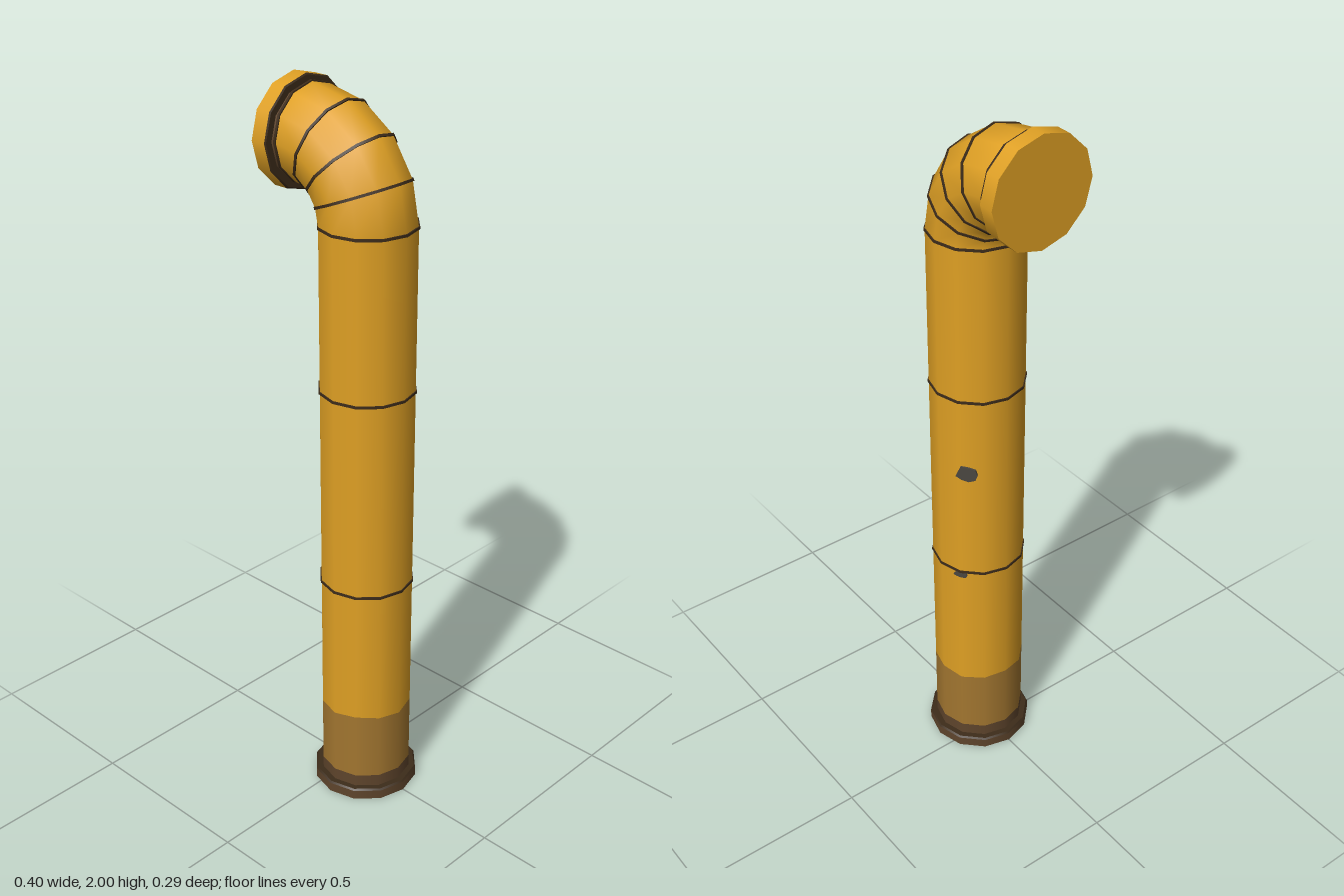
import * as THREE from 'three';

const SIDES = 12;
const R = 0.127;            // pipe radius
const FLANGE_R = 0.147;
const PX = 0.051;           // axis of the upright pipe
const BEND_X = -0.14, BEND_Y = 1.665, BEND_R = 0.191;

const material = (name, color) => {
  const m = new THREE.MeshStandardMaterial({ color });
  m.name = name;
  return m;
};

// small repeatable irregularity for the painted-on stain edge
const ragged = (x, z) => 0.006 * Math.sin(31 * x + 47 * z) - 0.002;

export function createModel() {
  const yellow = material('yellow paint', 0xdfa024);
  const brown = material('brown stain', 0xa27630);
  const rust = material('dark rust', 0x5f452c);
  const seamDark = material('seam brown', 0x3d2c1a);
  const grey = material('worn grey', 0x4a4640);

  const model = new THREE.Group();
  model.name = 'bentPipe';
  const add = (name, geometry, mat, x = 0, y = 0, z = 0) => {
    const mesh = new THREE.Mesh(geometry, mat);
    mesh.name = name;
    mesh.position.set(x, y, z);
    model.add(mesh);
    return mesh;
  };

  // upright pipe section; the chosen ends follow the ragged stain edge
  const section = (name, y0, y1, mat, raggedEnd) => {
    const g = new THREE.CylinderGeometry(R, R, y1 - y0, SIDES, 1, true);
    g.translate(0, (y0 + y1) / 2, 0);
    const p = g.attributes.position;
    for (let i = 0; i < p.count; i++) {
      const end = Math.abs(p.getY(i) - y0) < 1e-4 ? 'bottom' : 'top';
      if (end === raggedEnd) p.setY(i, p.getY(i) + ragged(p.getX(i), p.getZ(i)));
    }
    add(name, g, mat, PX);
  };
  section('rustyFoot', 0.03, 0.067, rust);
  section('stainedPipe', 0.067, 0.267, brown, 'top');
  section('uprightPipe', 0.267, BEND_Y, yellow, 'bottom');

  // base flange with a chamfered top and a plain underside
  add('baseFlange', new THREE.CylinderGeometry(FLANGE_R, FLANGE_R, 0.027, SIDES, 1, false),
    [rust, rust, yellow], PX, 0.0135, 0);
  add('baseFlangeLip', new THREE.CylinderGeometry(0.143, FLANGE_R, 0.005, SIDES),
    seamDark, PX, 0.0295, 0);

  // elbow: a four-piece cylinder bent through a quarter turn
  const elbow = new THREE.CylinderGeometry(R, R, 1, SIDES, 4, true);
  const p = elbow.attributes.position, n = elbow.attributes.normal;
  for (let i = 0; i < p.count; i++) {
    const a = (p.getY(i) + 0.5) * Math.PI / 2;
    const r = BEND_R + p.getX(i), nx = n.getX(i);
    p.setXYZ(i, BEND_X + r * Math.cos(a), BEND_Y + r * Math.sin(a), p.getZ(i));
    n.setXYZ(i, nx * Math.cos(a), nx * Math.sin(a), n.getZ(i));
  }
  add('elbow', elbow, yellow);

  // raised seams along the upright and at each joint of the elbow
  const seamGeometry = new THREE.CylinderGeometry(0.13, 0.13, 0.007, SIDES);
  for (const y of [0.661, 1.225]) add('pipeSeam', seamGeometry, seamDark, PX, y, 0);
  for (let i = 0; i <= 4; i++) {
    const a = i * Math.PI / 8;
    add('elbowSeam', seamGeometry, seamDark,
      BEND_X + BEND_R * Math.cos(a), BEND_Y + BEND_R * Math.sin(a), 0).rotation.z = a;
  }

  // end flange, lying on its side and facing -x
  const endY = BEND_Y + BEND_R - 0.003;
  const across = (name, r0, r1, x0, x1, mat) => {
    const mesh = add(name, new THREE.CylinderGeometry(r0, r1, x1 - x0, SIDES), mat, (x0 + x1) / 2, endY, 0);
    mesh.rotation.z = Math.PI / 2;   // cylinder top points to -x
  };
  across('endNeck', R - 0.002, R - 0.002, -0.155, -0.138, rust);
  across('endFlangeLip', FLANGE_R, 0.143, -0.157, -0.154, seamDark);
  across('endFlange', FLANGE_R, FLANGE_R, -0.2, -0.157, yellow);

  // worn patches: thin irregular plates lying on the pipe's back
  const patch = (angle, y, w, h) => {
    const shape = new THREE.Shape();
    for (let i = 0; i < 9; i++) {
      const t = i / 9 * Math.PI * 2, k = 1 + 0.14 * Math.sin(i * 2.7);
      shape[i ? 'lineTo' : 'moveTo'](Math.cos(t) * w * k, Math.sin(t) * h * k);
    }
    const g = new THREE.ExtrudeGeometry(shape, { depth: 0.006, bevelEnabled: false });
    const d = 0.1225;
    add('wornPatch', g, grey, PX + Math.sin(angle) * d, y, Math.cos(angle) * d).rotation.y = angle;
  };
  patch(Math.PI * 1.25 - 0.09, 1.0, 0.029, 0.024);
  patch(Math.PI * 1.25 - 0.26, 0.65, 0.02, 0.009);

  return model;
}
